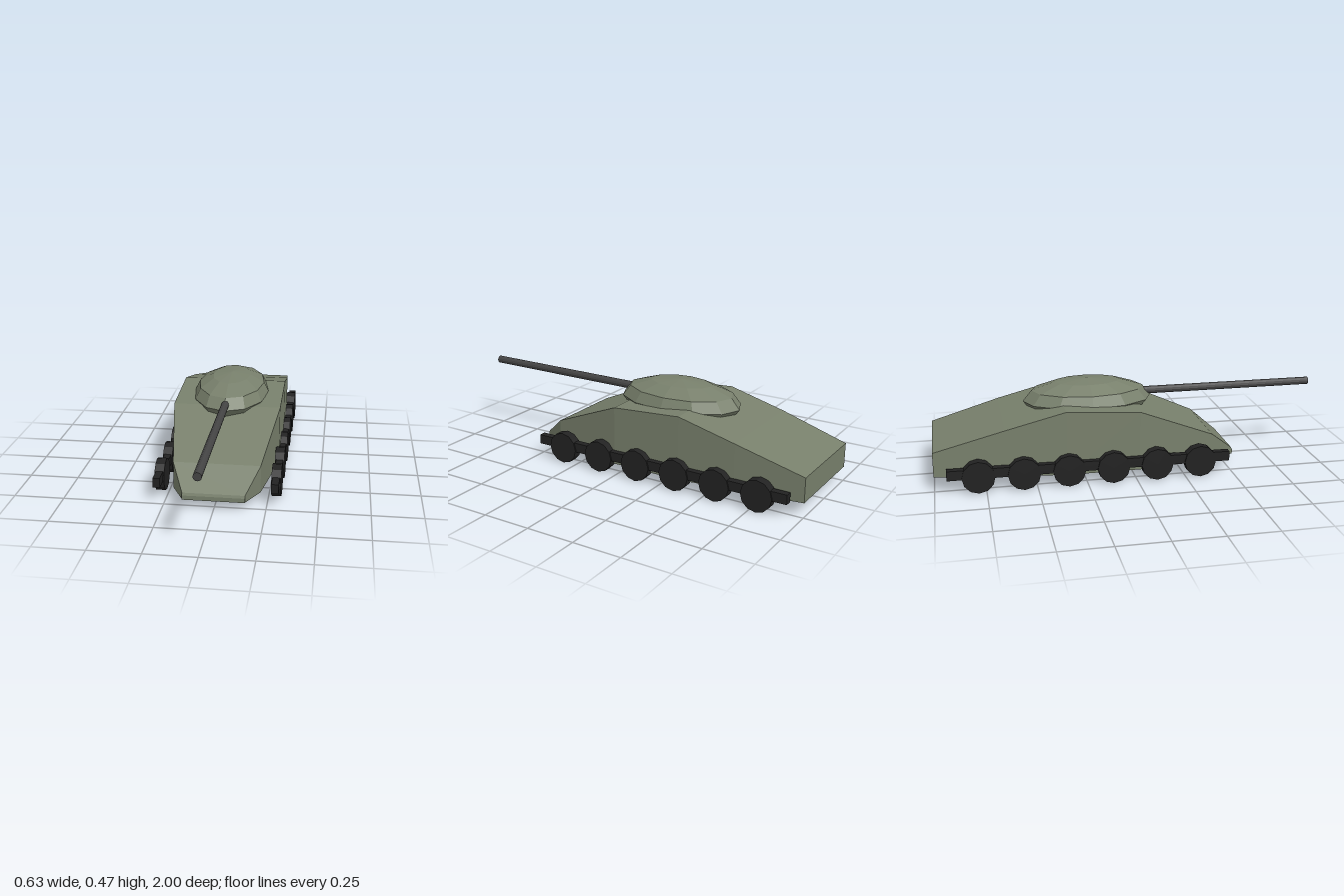
import * as THREE from 'three';

const paint = new THREE.MeshStandardMaterial({ color: 0x78806c, flatShading: true });
const rubber = new THREE.MeshStandardMaterial({ color: 0x222222, flatShading: true });
const steel = new THREE.MeshStandardMaterial({ color: 0x444444, flatShading: true });

function add(parent, name, geometry, material, x = 0, y = 0, z = 0) {
  const mesh = new THREE.Mesh(geometry, material);
  mesh.name = name;
  mesh.position.set(x, y, z);
  parent.add(mesh);
  return mesh;
}

// Joins rectangular cross-sections, ordered front to back: [z, halfWidth, bottom, top]
function loft(sections) {
  const points = [];
  const index = [];
  for (const [z, w, b, t] of sections) {
    points.push(-w, b, z, w, b, z, w, t, z, -w, t, z);
  }
  const quad = (a, b, c, d) => index.push(a, b, c, a, c, d);
  const last = (sections.length - 1) * 4;
  quad(0, 1, 2, 3);
  for (let s = 0; s < last; s += 4) {
    for (let i = 0; i < 4; i++) {
      const j = (i + 1) % 4;
      quad(s + i, s + 4 + i, s + 4 + j, s + j);
    }
  }
  quad(last + 1, last, last + 3, last + 2);
  const geometry = new THREE.BufferGeometry();
  geometry.setAttribute('position', new THREE.Float32BufferAttribute(points, 3));
  geometry.setIndex(index);
  const flat = geometry.toNonIndexed();
  flat.computeVertexNormals();
  return flat;
}

export function createModel() {
  const model = new THREE.Group();
  model.name = 'tank';

  // Wedge-nosed hull with a sloping rear deck
  add(model, 'hull', loft([
    [0.54, 0.152, 0.048, 0.07],
    [0.535, 0.152, 0.048, 0.083],
    [0.41, 0.215, 0.048, 0.187],
    [0.02, 0.277, 0.048, 0.35],
    [-0.35, 0.277, 0.048, 0.374],
    [-0.65, 0.272, 0.062, 0.298],
    [-1, 0.25, 0.075, 0.2],
  ]), paint);

  // Faceted oval turret, partly sunk into the hull
  const dome = new THREE.SphereGeometry(1, 12, 6).scale(0.2, 0.108, 0.333);
  add(model, 'turret', dome, paint, 0, 0.358, -0.203);

  // Gun barrel
  const tube = new THREE.CylinderGeometry(0.02, 0.02, 1, 12).rotateX(Math.PI / 2);
  add(model, 'gunBarrel', tube, steel, 0, 0.38, 0.5);

  // Running gear: one bar and six road wheels per side
  const wheel = new THREE.CylinderGeometry(0.081, 0.081, 0.048, 12).rotateZ(Math.PI / 2);
  const bar = new THREE.BoxGeometry(0.036, 0.049, 1.415);
  for (const side of [1, -1]) {
    const gear = new THREE.Group();
    gear.name = side > 0 ? 'leftRunningGear' : 'rightRunningGear';
    add(gear, 'trackBar', bar, rubber, side * 0.289, 0.098, -0.232);
    for (let i = 0; i < 6; i++) {
      add(gear, 'roadWheel', wheel, rubber, side * 0.289, 0.081, 0.323 - i * 0.222);
    }
    model.add(gear);
  }
  return model;
}
